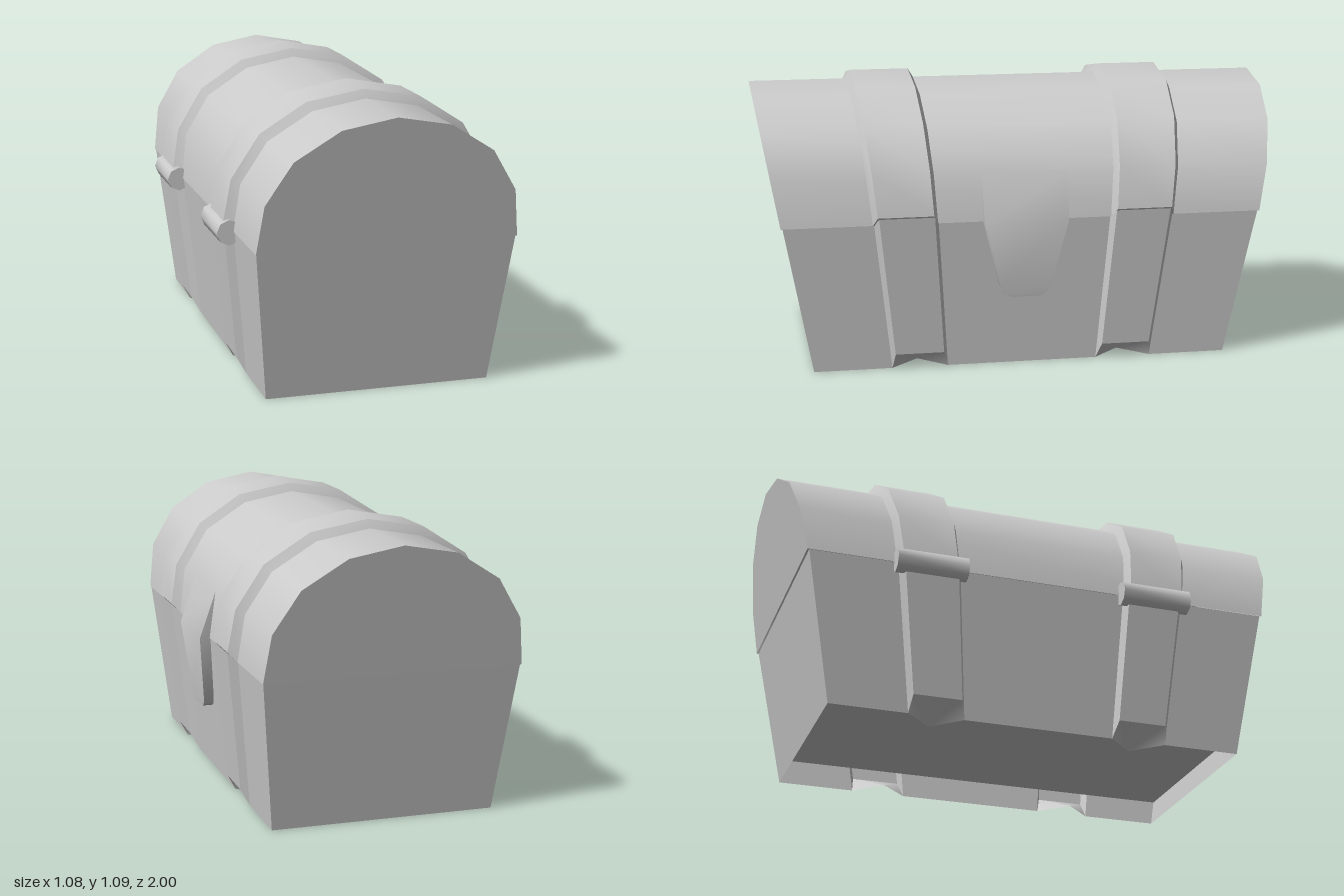
import * as THREE from 'three';
import { toCreasedNormals } from 'three/addons/utils/BufferGeometryUtils.js';

const solid = new THREE.MeshStandardMaterial({ color: 0xcccccc });
const shell = new THREE.MeshStandardMaterial({ color: 0xcccccc, side: THREE.DoubleSide });

// Skin a row of equal-length open cross-sections, optionally filling both ends.
function loft(sections, { caps = false, crease = 0.6 } = {}) {
  const pos = [];
  const tri = (a, b, c) => {
    const area = b.clone().sub(a).cross(c.clone().sub(a)).length();
    if (area > 1e-8) pos.push(...a.toArray(), ...b.toArray(), ...c.toArray());
  };
  const n = sections[0].length;
  for (let i = 0; i < sections.length - 1; i++) {
    const s = sections[i], t = sections[i + 1];
    for (let j = 0; j < n - 1; j++) {
      tri(s[j], s[j + 1], t[j + 1]);
      tri(s[j], t[j + 1], t[j]);
    }
  }
  if (caps) {
    const first = sections[0], last = sections[sections.length - 1];
    for (let j = 1; j < n - 1; j++) {
      tri(first[0], first[j + 1], first[j]);
      tri(last[0], last[j], last[j + 1]);
    }
  }
  const geometry = new THREE.BufferGeometry();
  geometry.setAttribute('position', new THREE.Float32BufferAttribute(pos, 3));
  return toCreasedNormals(geometry, crease);
}

// Right half of a profile, bottom to top, completed with its mirror image.
const mirror = (half) => [
  ...half,
  ...half.filter((p) => p[0] > 0).reverse().map(([x, y]) => [-x, y]),
];

// Place a profile at a fraction of the chest's length, which widens upward.
const bodyEnd = (y) => 0.8 + 0.185 * y;
const lidEnd = (y) => 0.81 + 0.18 * y;
const place = (profile, f, end) =>
  profile.map(([x, y]) => new THREE.Vector3(x, y, f * end(y)));

// Body and lid profiles, with the raised band profiles matching point by point
const wall = [[0.426, 0], [0.484, 0.575]];
const bandBase = [wall[0], wall[1], wall[1]];
const bandOuter = [[0.46, 0.063], [0.519, 0.605], wall[1]];
const lidHalf = [[0.487, 0.575], [0.463, 0.755], [0.366, 0.91], [0.2, 1.015], [0, 1.052]];
const lidBase = mirror([lidHalf[0], ...lidHalf]);
const lidOuter = mirror([lidHalf[0], [0.52, 0.61], [0.494, 0.77], [0.391, 0.935], [0.218, 1.046], [0, 1.085]]);

// Fractions of the length for each band: base, outer, outer, base
const edges = [0.3615, 0.379, 0.607, 0.628];
const bands = [edges, edges.map((e) => -e).reverse()];

function add(parent, name, geometry, material = shell) {
  const mesh = new THREE.Mesh(geometry, material);
  mesh.name = name;
  parent.add(mesh);
  return mesh;
}

// One long wall with its bands, plus one end wall
function bodySide() {
  const side = new THREE.Group();
  side.name = 'bodySide';
  for (const [a, b] of [[-1, -edges[3]], [-edges[0], edges[0]], [edges[3], 1]]) {
    add(side, 'wallPanel', loft([place(wall, a, bodyEnd), place(wall, b, bodyEnd)]));
  }
  const far = wall.map(([x, y]) => [-x, y]);
  add(side, 'endWall', loft([place(wall, 1, bodyEnd), place(far, 1, bodyEnd)]));

  for (const f of bands) {
    const sections = f.map((e, i) => place(i % 3 ? bandOuter : bandBase, e, bodyEnd));
    add(side, 'bodyBand', loft(sections));
    // Notch under the band, running in to a point
    const rim = sections.map((s) => s[0]);
    const apex = new THREE.Vector3(0.325, 0, (rim[0].z + rim[3].z) / 2);
    add(side, 'bandNotch', loft([rim, rim.map(() => apex)], { crease: 1.2 }));
  }
  return side;
}

export function createModel() {
  const root = new THREE.Group();
  const chest = new THREE.Group();
  chest.name = 'chest';
  chest.position.x = 0.0115;
  root.add(chest);

  // Hollow body with a raised floor
  for (const turn of [0, Math.PI]) {
    const side = bodySide();
    side.rotation.y = turn;
    chest.add(side);
  }
  const floorY = 0.1;
  const floor = new THREE.PlaneGeometry(0.872, 2 * bodyEnd(floorY));
  floor.rotateX(Math.PI / 2);
  add(chest, 'floor', floor).position.y = floorY;

  // Hollow rounded lid with closed ends
  const lidArc = mirror(lidHalf);
  add(chest, 'lid', loft([place(lidArc, -1, lidEnd), place(lidArc, 1, lidEnd)], { caps: true }));

  // Lid bands, with a hinge barrel behind each
  bands.forEach((f, i) => {
    add(chest, 'lidBand', loft(f.map((e, k) => place(k % 3 ? lidOuter : lidBase, e, lidEnd))));
    const barrel = new THREE.CylinderGeometry(0.048, 0.048, 0.275, 8);
    barrel.rotateX(Math.PI / 2);
    const hinge = add(chest, 'hinge', toCreasedNormals(barrel, 0.9), solid);
    hinge.position.set(-0.5025, 0.573, i ? -0.447 : 0.447);
  });

  // Clasp plate, merging into the lid at its top: height, half width, outer x
  const rows = [
    [0.278, 0.055, 0.493], [0.29, 0.08, 0.495], [0.32, 0.097, 0.498],
    [0.575, 0.16, 0.526], [0.755, 0.164, 0.463],
  ];
  add(chest, 'clasp', loft(rows.map(([y, w, x]) => [
    [0.43, w], [x, w], [x, -w], [0.43, -w],
  ].map(([px, pz]) => new THREE.Vector3(px, y, pz))), { caps: true }));

  return root;
}
